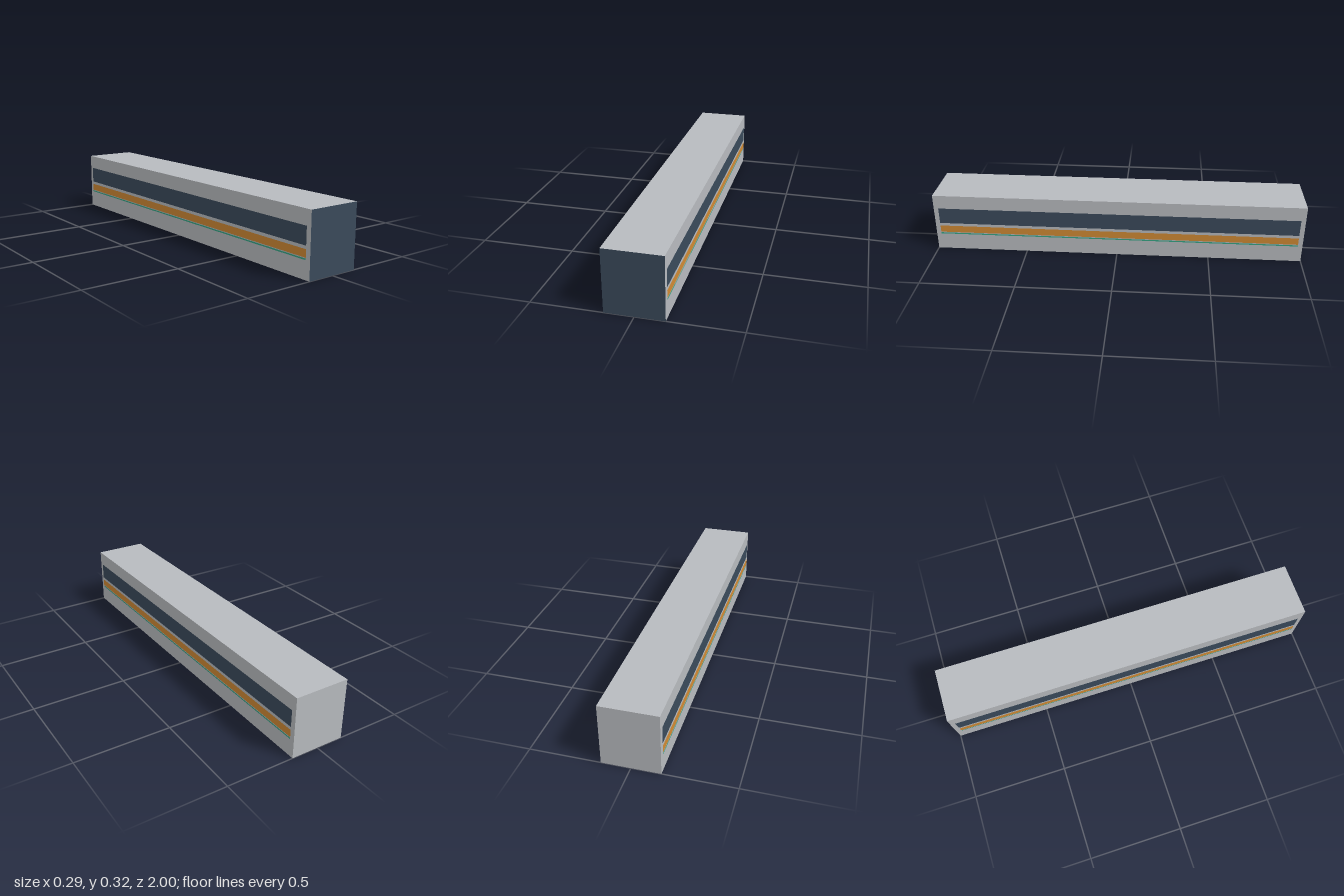
import * as THREE from 'three';

const W = 0.29, H = 0.325, L = 2;

export function createModel() {
  const paint = (name, color) => {
    const m = new THREE.MeshStandardMaterial({ color, side: THREE.DoubleSide });
    m.name = name;
    return m;
  };
  const grey = paint('bodyGrey', 0xb8bbbf);
  const dark = paint('glassDark', 0x3a4a5b);
  const orange = paint('stripeOrange', 0xd08a34);
  const green = paint('stripeGreen', 0x35a585);

  const model = new THREE.Group();
  model.name = 'railCarBody';

  // Flat panel, turned to face outward and placed
  const panel = (name, material, w, h, pos, rx = 0, ry = 0) => {
    const mesh = new THREE.Mesh(new THREE.PlaneGeometry(w, h), material);
    mesh.name = name;
    mesh.position.set(...pos);
    mesh.rotation.set(rx, ry, 0);
    model.add(mesh);
  };

  // Shell, open underneath
  panel('frontWall', dark, W, H, [0, H / 2, L / 2]);
  panel('backWall', grey, W, H, [0, H / 2, -L / 2], 0, Math.PI);
  panel('roof', grey, W, L, [0, H, 0], -Math.PI / 2);

  // Side walls with their painted bands: name, material, bottom, top
  const bands = [
    ['windowBand', dark, 0.159, 0.249],
    ['wideStripe', orange, 0.104, 0.143],
    ['thinStripe', green, 0.093, 0.1],
  ];
  for (const [side, s] of [['left', 1], ['right', -1]]) {
    const turn = s * Math.PI / 2;
    panel(side + 'Wall', grey, L, H, [s * W / 2, H / 2, 0], 0, turn);
    for (const [name, material, y0, y1] of bands) {
      panel(side + '_' + name, material, 1.95, y1 - y0,
        [s * (W / 2 + 0.0015), (y0 + y1) / 2, 0], 0, turn);
    }
  }
  return model;
}
